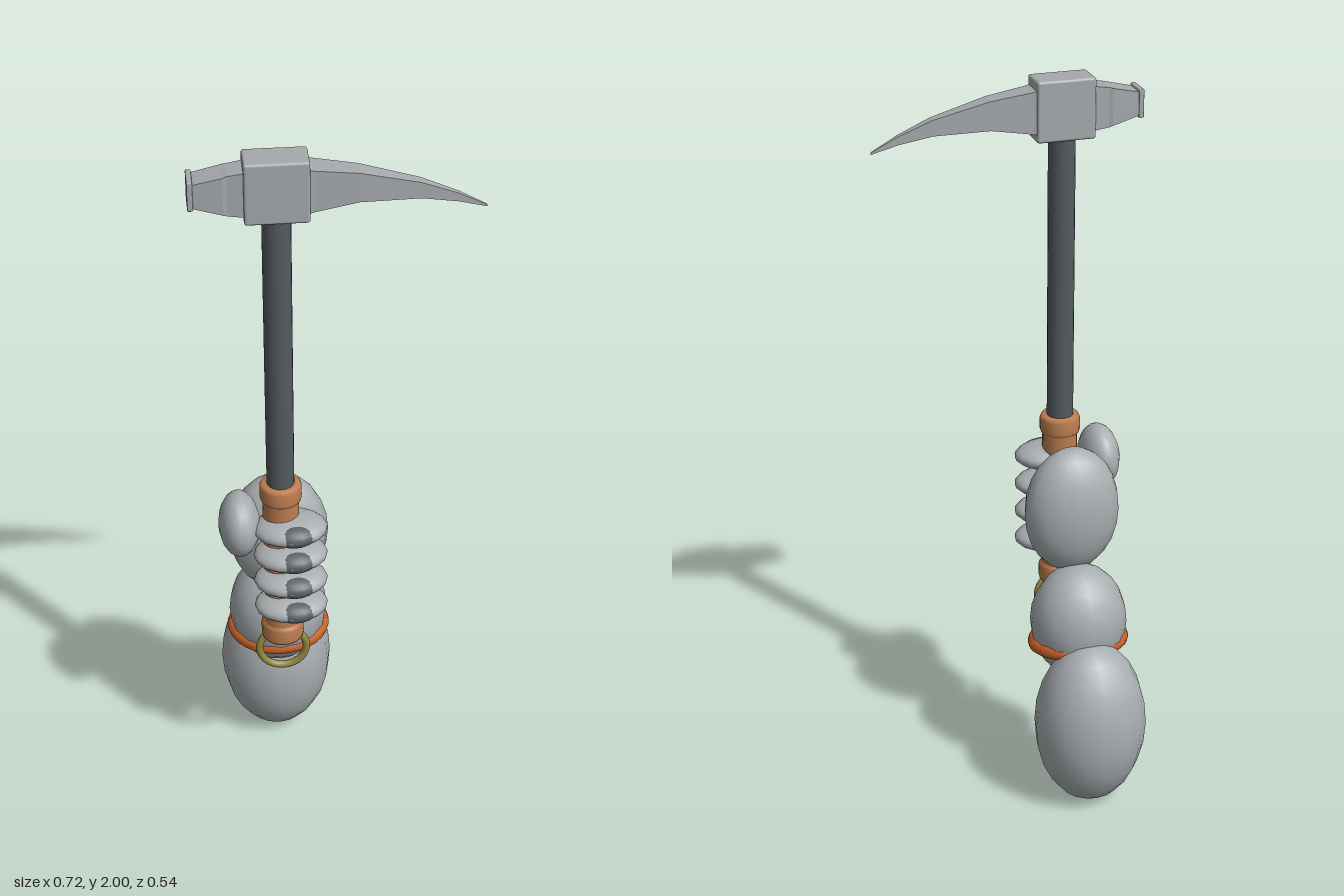
import * as THREE from 'three';
import { RoundedBoxGeometry } from 'three/addons/geometries/RoundedBoxGeometry.js';

const X = -0.148, Z = 0.164; // axis of the tool shaft

// Tapered bar along x; each section is [x, yBottom, yTop, halfDepth]
function bar(sections) {
  const pos = [], rings = sections.map(([x, b, t, d]) =>
    [[x, b, Z + d], [x, t, Z + d], [x, t, Z - d], [x, b, Z - d]]);
  const quad = (a, b, c, d) => pos.push(...a, ...b, ...c, ...a, ...c, ...d);
  for (let i = 0; i < rings.length - 1; i++) {
    const p = rings[i], q = rings[i + 1];
    for (let k = 0; k < 4; k++) {
      const n = (k + 1) % 4;
      quad(p[k], q[k], q[n], p[n]);
    }
  }
  const s = rings[0], e = rings[rings.length - 1];
  quad(s[0], s[1], s[2], s[3]);
  quad(e[3], e[2], e[1], e[0]);
  const g = new THREE.BufferGeometry();
  g.setAttribute('position', new THREE.Float32BufferAttribute(pos, 3));
  g.computeVertexNormals();
  return g;
}

export function createModel() {
  const model = new THREE.Group();
  const material = (name, color) => {
    const m = new THREE.MeshStandardMaterial({ color });
    m.name = name;
    return m;
  };
  const skin = material('stone grey', 0xa9aeb1);
  const steel = material('steel', 0xa6aaad);
  const dark = material('dark shaft', 0x535b5e);
  const pad = material('dark pad', 0x596064);
  const leather = material('tan leather', 0xbd7d50);
  const orange = material('orange', 0xcc6428);
  const brass = material('brass', 0x938a42);

  const add = (name, geometry, mat, x = 0, y = 0, z = 0) => {
    const mesh = new THREE.Mesh(geometry, mat);
    mesh.name = name;
    mesh.position.set(x, y, z);
    model.add(mesh);
    return mesh;
  };
  const blob = (name, mat, x, y, z, rx, ry, rz) => {
    const mesh = add(name, new THREE.SphereGeometry(1, 16, 12), mat, x, y, z);
    mesh.scale.set(rx, ry, rz);
    return mesh;
  };

  // Arm and palm
  blob('forearm', skin, X, 0.243, -0.122, 0.156, 0.243, 0.147);
  blob('wrist', skin, X, 0.505, -0.01, 0.135, 0.165, 0.126);
  blob('palm', skin, X, 0.815, 0.055, 0.134, 0.183, 0.09);
  blob('thumb', skin, -0.257, 0.92, 0.152, 0.055, 0.09, 0.087);

  // Wrist band
  const band = add('wristBand', new THREE.TorusGeometry(0.122, 0.02, 10, 32).rotateX(Math.PI / 2),
    orange, X, 0.446, -0.01);
  band.scale.set(1, 1.1, 0.84);
  band.rotation.x = 0.1;

  // Four curled fingers with dark pads
  for (let i = 0; i < 4; i++) {
    const y = 0.925 - i * 0.084;
    blob('finger' + (i + 1), skin, -0.126, y, 0.19, 0.098, 0.035, 0.076);
    blob('fingerPad' + (i + 1), pad, -0.118, y, 0.224, 0.06, 0.03, 0.043);
  }

  // Shaft
  add('shaft', new THREE.CylinderGeometry(0.036, 0.036, 1.25, 20), dark, X, 1.225, Z);

  // Wrapped grip with collars at both ends
  const profile = [[0, 0.55], [0.055, 0.55], [0.057, 0.557], [0.057, 0.593], [0.052, 0.6],
    [0.048, 0.605], [0.048, 1.0], [0.053, 1.005], [0.055, 1.012], [0.055, 1.045],
    [0.05, 1.055], [0.03, 1.055]].map(p => new THREE.Vector2(...p));
  add('grip', new THREE.LatheGeometry(profile, 20), leather, X, 0, Z);

  // Hanging ring
  add('ring', new THREE.TorusGeometry(0.064, 0.01, 10, 28), brass, X, 0.5, Z);

  // Tool head
  add('headBlock', new RoundedBoxGeometry(0.158, 0.162, 0.088, 2, 0.007), steel, X, 1.919, Z);
  add('hammer', bar([
    [-0.347, 1.886, 1.949, 0.033], [-0.275, 1.866, 1.965, 0.036], [-0.265, 1.862, 1.968, 0.033],
    [-0.22, 1.857, 1.975, 0.036],
  ]), steel);
  add('hammerFace', new RoundedBoxGeometry(0.014, 0.076, 0.073, 1, 0.003), steel, -0.353, 1.918, Z);
  add('pick', bar([
    [-0.08, 1.857, 1.977, 0.038], [-0.06, 1.862, 1.972, 0.034], [0.05, 1.879, 1.956, 0.026],
    [0.2, 1.875, 1.917, 0.014], [0.29, 1.858, 1.88, 0.007], [0.36, 1.838, 1.843, 0.002],
  ]), steel);

  return model;
}
